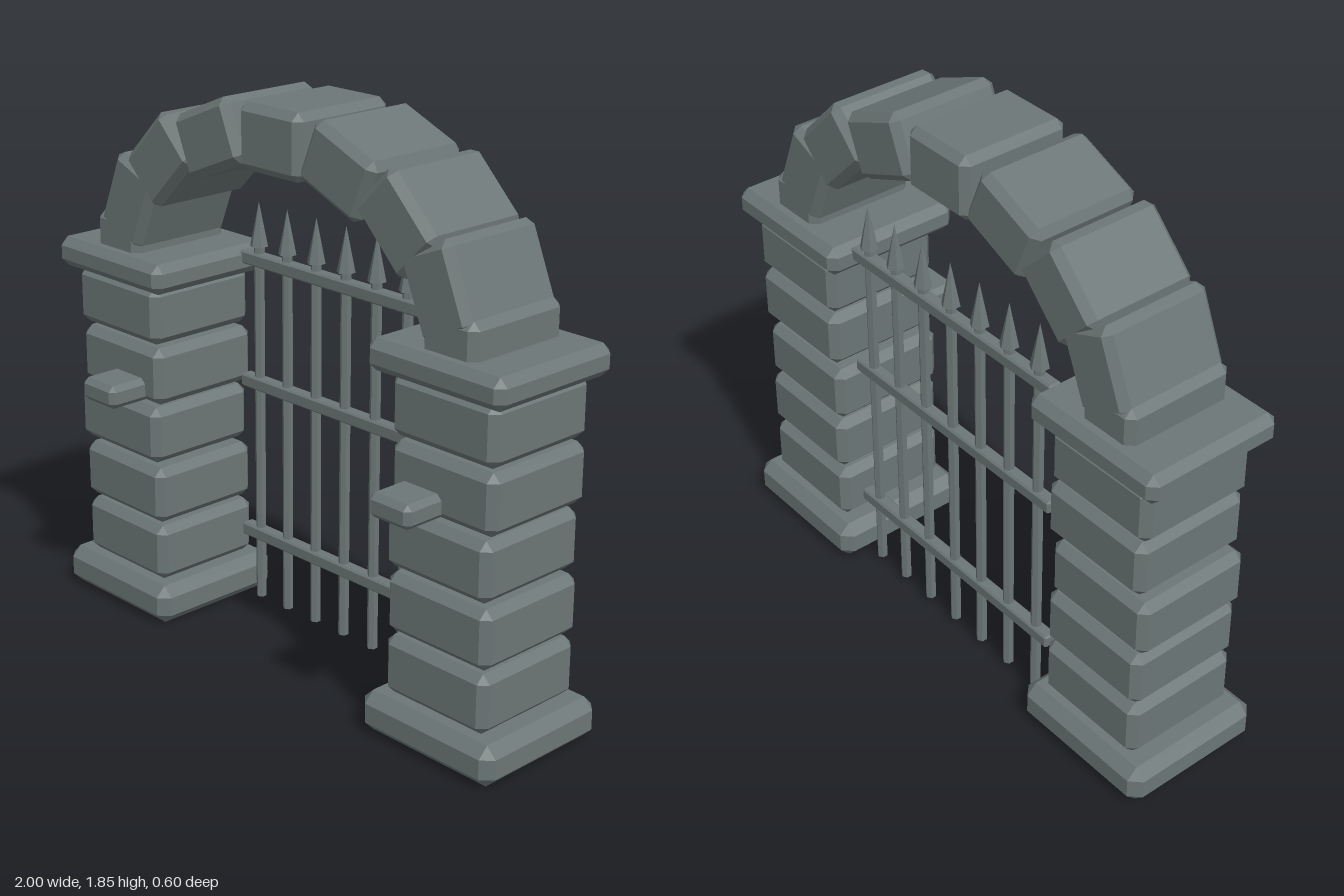
import * as THREE from 'three';
import { ConvexGeometry } from 'three/addons/geometries/ConvexGeometry.js';

// Box with flat chamfers on every edge and small triangles at the corners
function chamferBox(w, h, d, b) {
  const pts = [];
  for (const sx of [-1, 1]) for (const sy of [-1, 1]) for (const sz of [-1, 1]) {
    const x = w / 2, y = h / 2, z = d / 2;
    pts.push(new THREE.Vector3(sx * x, sy * (y - b), sz * (z - b)));
    pts.push(new THREE.Vector3(sx * (x - b), sy * y, sz * (z - b)));
    pts.push(new THREE.Vector3(sx * (x - b), sy * (y - b), sz * z));
  }
  return new ConvexGeometry(pts);
}

export function createModel() {
  const root = new THREE.Group();
  root.name = 'gateway';
  const stone = new THREE.MeshStandardMaterial({ color: 0x6c7676, flatShading: true });
  stone.name = 'weathered grey';

  const add = (parent, name, geometry, x, y, z) => {
    const mesh = new THREE.Mesh(geometry, stone);
    mesh.name = name;
    mesh.position.set(x, y, z);
    parent.add(mesh);
    return mesh;
  };
  const midZ = -0.046;

  // Pillars: plinth, five slightly shifted blocks, cap and a front corbel
  const blockY = [0.236, 0.444, 0.655, 0.868, 1.074];
  const pillars = [
    { name: 'rightPillar', side: -1, xs: [-0.725, -0.728, -0.745, -0.722, -0.733] },
    { name: 'leftPillar', side: 1, xs: [0.73, 0.733, 0.725, 0.743, 0.74] },
  ];
  for (const { name, side, xs } of pillars) {
    const pillar = new THREE.Group();
    pillar.name = name;
    root.add(pillar);
    add(pillar, 'plinth', chamferBox(0.535, 0.135, 0.505, 0.035), side * 0.7325, 0.07, midZ);
    xs.forEach((x, i) => add(pillar, 'block', chamferBox(0.41, 0.195, 0.415, 0.027), x, blockY[i], midZ));
    add(pillar, 'cap', chamferBox(0.527, 0.1, 0.49, 0.027), side * 0.731, 1.218, midZ);
    add(pillar, 'corbel', chamferBox(0.165, 0.078, 0.2, 0.018), side * 0.67, 0.815, 0.2);
  }

  // Arch: nine stones along a half ellipse, the end ones sunk into the caps
  const arch = new THREE.Group();
  arch.name = 'arch';
  root.add(arch);
  const archStone = chamferBox(0.272, 0.21, 0.386, 0.025);
  for (let i = -4; i <= 4; i++) {
    const a = (i * Math.PI) / 8;
    const mesh = add(arch, i === 0 ? 'keystone' : 'archStone', archStone,
      0.74 * Math.sin(a), 1.245 + 0.5 * Math.cos(a), midZ);
    mesh.rotation.z = -a;
  }

  // Gate: seven spiked bars and three rails
  const gate = new THREE.Group();
  gate.name = 'gate';
  root.add(gate);
  const gateZ = -0.187;
  const bar = new THREE.CylinderGeometry(0.018, 0.018, 1.27, 6);
  const spike = new THREE.ConeGeometry(0.031, 0.15, 6);
  for (let i = -3; i <= 3; i++) {
    add(gate, 'bar', bar, i * 0.136, 0.655, gateZ);
    add(gate, 'spike', spike, i * 0.136, 1.355, gateZ);
  }
  const rail = chamferBox(0.96, 0.045, 0.045, 0.006);
  for (const y of [0.258, 0.804, 1.234]) add(gate, 'rail', rail, 0, y, gateZ);

  return root;
}
